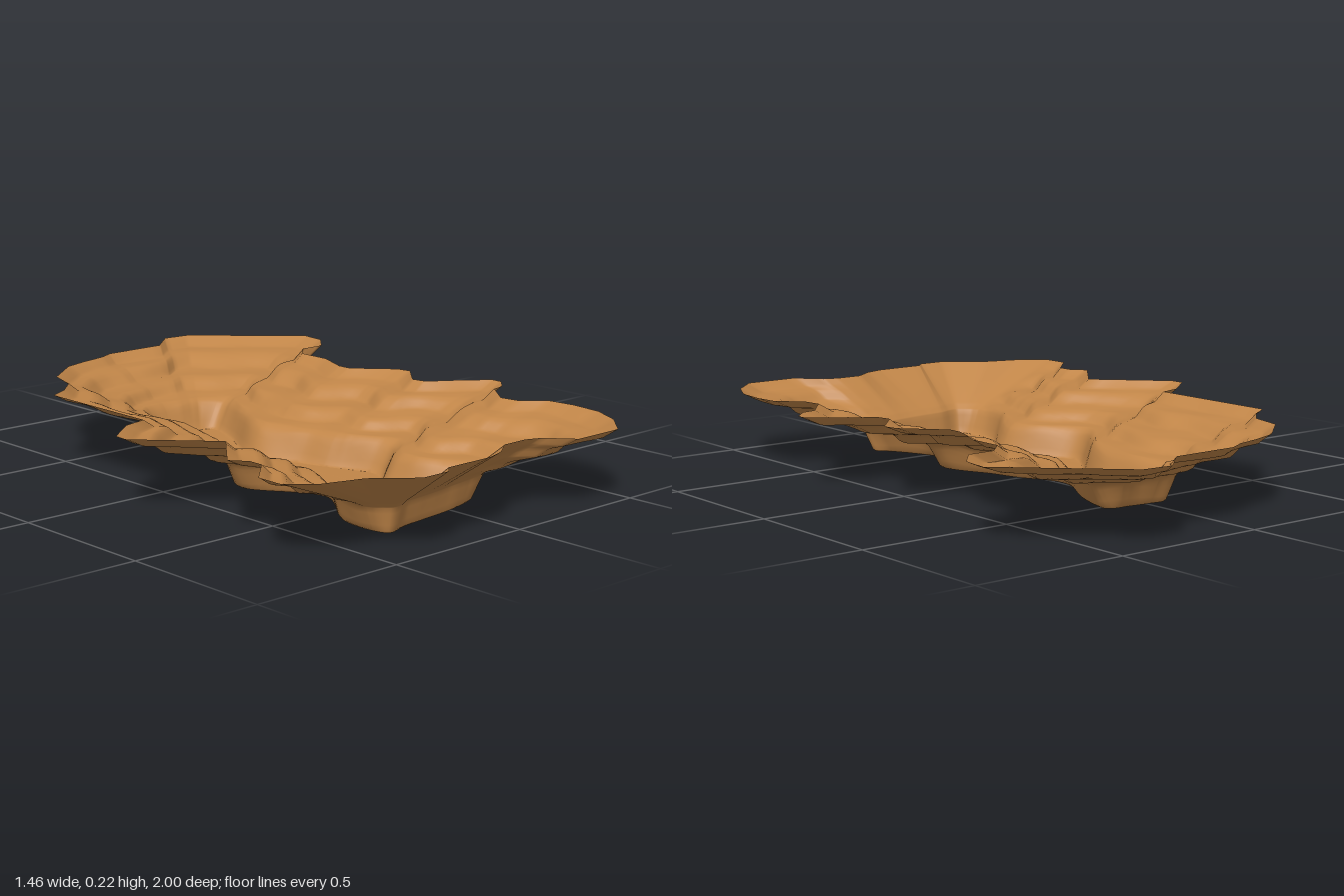
import * as THREE from 'three';

// Rim corners (x, z), clockwise seen from above, starting at the back
const RIM = [
  0, -0.91, 0.22, -0.91, 0.32, -1, 0.42, -0.99, 0.73, -0.69, 0.72, -0.6, 0.65, -0.52, 0.56, -0.52,
  0.5, -0.46, 0.5, -0.34, 0.45, -0.22, 0.45, -0.17, 0.56, -0.05, 0.57, 0, 0.48, 0.1, 0.49, 0.15,
  0.58, 0.21, 0.67, 0.28, 0.67, 0.32, 0.62, 0.37, 0.57, 0.38, 0.49, 0.48, 0.5, 0.55, 0.57, 0.61,
  0.58, 0.7, 0.57, 0.81, 0.52, 0.91, 0.43, 1, 0.25, 1, 0.18, 0.92, 0.13, 0.9, 0.04, 0.9,
  -0.03, 0.95, -0.1, 0.97, -0.27, 0.97, -0.3, 1, -0.4, 1, -0.52, 0.9, -0.65, 0.86, -0.73, 0.79,
  -0.73, 0.7, -0.63, 0.6, -0.63, 0.55, -0.67, 0.5, -0.53, 0.33, -0.73, 0.12, -0.73, 0.07, -0.62, -0.02,
  -0.54, -0.04, -0.54, -0.28, -0.54, -0.5, -0.47, -0.54, -0.4, -0.61, -0.37, -0.72, -0.24, -0.83,
  -0.15, -0.86, -0.06, -0.88,
];
// Floor corners: index of the facing rim corner, x, z
const FLOOR = [
  [0, -0.01, -0.55], [2, 0.07, -0.54], [4, 0.12, -0.535], [6, 0.14, -0.515], [7, 0.135, -0.48],
  [8, 0.1, -0.38], [11, -0.01, -0.15], [13, 0.05, 0.02], [14, 0.07, 0.1], [18, 0.13, 0.29],
  [21, 0.03, 0.42], [24, 0.09, 0.62], [27, 0.13, 0.68], [30, 0.03, 0.72], [34, -0.22, 0.755],
  [36, -0.3, 0.775], [39, -0.32, 0.73], [41, -0.31, 0.6], [44, -0.17, 0.37], [46, -0.29, 0.13],
  [47, -0.24, 0.03], [48, -0.16, -0.08], [49, -0.08, -0.25], [50, -0.08, -0.45], [53, -0.07, -0.55],
];
// Slope sections (share of the way from floor to rim, height)
const TERRACED = [[0, 0], [0.02, 0.006], [0.04, 0.025], [0.1, 0.08], [0.15, 0.1], [0.29, 0.104],
  [0.37, 0.135], [0.42, 0.143], [0.6, 0.146], [0.69, 0.18], [0.74, 0.19], [0.88, 0.192], [1, 0.225]];
const PLAIN = [[0, 0], [0.02, 0.006], [0.04, 0.025], [0.1, 0.08], [0.2, 0.1], [1, 0.225]];

const STEPS = 5; // subdivisions per rim corner
const ROWS = 50; // subdivisions up the slope

function height(section, u) {
  const k = Math.max(1, section.findIndex((p) => p[0] >= u));
  const [a, b] = [section[k - 1], section[k]];
  return THREE.MathUtils.mapLinear(u, a[0], b[0], a[1], b[1]);
}

// Matching points along the rim and the floor edge
function makeContours() {
  const n = RIM.length / 2;
  const corner = (i) => new THREE.Vector2(RIM[(i % n) * 2], RIM[(i % n) * 2 + 1]);
  const curve = new THREE.CatmullRomCurve3(FLOOR.map((f) => new THREE.Vector3(f[1], 0, f[2])), true, 'centripetal');
  const rim = [], floor = [];
  for (let i = 0; i < n * STEPS; i++) {
    const s = i / STEPS, c = Math.floor(s);
    rim.push(corner(c).lerp(corner(c + 1), s - c));
    let k = FLOOR.length - 1;
    while (FLOOR[k][0] > s) k--;
    const end = k + 1 < FLOOR.length ? FLOOR[k + 1][0] : n;
    const p = curve.getPoint((k + (s - FLOOR[k][0]) / (end - FLOOR[k][0])) / FLOOR.length);
    floor.push(new THREE.Vector2(p.x, p.z));
  }
  return { rim, floor };
}

// Flat floor and terraced slopes as one smooth sheet
function makeTerrain({ rim, floor }) {
  const n = rim.length, positions = [];
  const index = THREE.ShapeUtils.triangulateShape(floor.map((p) => new THREE.Vector2(p.x, -p.y)), []).flat();
  for (let r = 0; r <= ROWS; r++) {
    for (let i = 0; i < n; i++) {
      const u = r / ROWS;
      const p = floor[i].clone().lerp(rim[i], u);
      // terraces vanish on the front wall, and elsewhere wander and fade in waves
      const front = THREE.MathUtils.smoothstep(floor[i].y, 0.66, 0.73);
      const wave = 0.2 + 0.2 * Math.sin(p.x * 14 - p.y * 19);
      const wander = u + 0.14 * u * (1 - u) * Math.sin(p.x * 17 + p.y * 23);
      const y = THREE.MathUtils.lerp(height(TERRACED, wander), height(PLAIN, u), Math.max(front, wave));
      positions.push(p.x, y, p.y);
      if (r < ROWS) {
        const a = r * n + i, b = r * n + (i + 1) % n;
        index.push(a, b, a + n, b, b + n, a + n);
      }
    }
  }
  const g = new THREE.BufferGeometry();
  g.setAttribute('position', new THREE.Float32BufferAttribute(positions, 3));
  g.setIndex(index);
  g.computeVertexNormals();
  return g;
}

export function createModel() {
  const group = new THREE.Group();
  group.name = 'canyon';
  const earth = new THREE.MeshStandardMaterial({ color: 0xc08548, side: THREE.DoubleSide });
  const terrain = new THREE.Mesh(makeTerrain(makeContours()), earth);
  terrain.name = 'canyonTerrain';
  group.add(terrain);
  return group;
}
